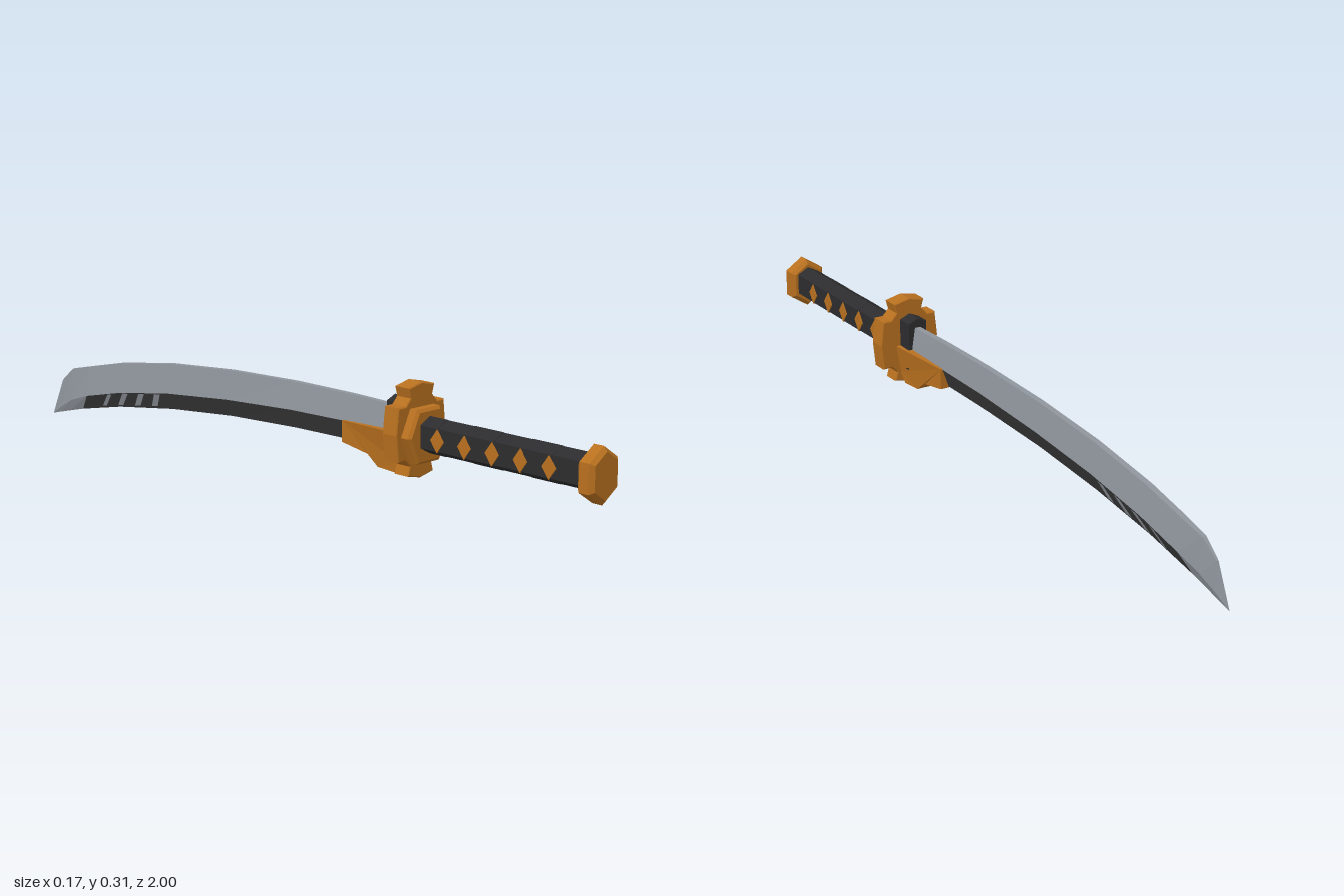
import * as THREE from 'three';

const material = (color, extra = {}) => new THREE.MeshStandardMaterial({ color, ...extra });

export function createModel() {
  const model = new THREE.Group();
  const bronze = material(0xb8701f);
  const wrap = material(0x2c2c2e);
  const steel = material(0x8f959c, { side: THREE.DoubleSide });
  const darkSteel = material(0x383838, { side: THREE.DoubleSide });

  const add = (name, geometry, mat, parent = model) => {
    const mesh = new THREE.Mesh(geometry, mat);
    mesh.name = name;
    parent.add(mesh);
    return mesh;
  };

  const shapeOf = (points) => new THREE.Shape(points.map(([x, y]) => new THREE.Vector2(x, y)));

  // Bevelled slab of an x/y outline between two z positions
  const slab = (name, points, z0, z1, bevel, mat, parent) => {
    const geometry = new THREE.ExtrudeGeometry(shapeOf(points), {
      depth: z1 - z0 - 2 * bevel, bevelEnabled: bevel > 0, bevelSegments: 1,
      bevelThickness: bevel, bevelSize: bevel, bevelOffset: -bevel,
    });
    geometry.translate(0, 0, z0 + bevel);
    return add(name, geometry, mat, parent);
  };

  // Hexagon with points at top and bottom
  const hex = (cy, w, h, shoulder) => [
    [0, cy - h], [w, cy - shoulder], [w, cy + shoulder],
    [0, cy + h], [-w, cy + shoulder], [-w, cy - shoulder],
  ];

  // Grip with alternating wrap bands, and the pommel
  const grip = new THREE.Group();
  grip.name = 'grip';
  model.add(grip);
  for (let i = 0; i < 6; i++) {
    const z = 0.43 + i * 0.0883;
    const s = i % 2 ? 0.001 : 0;
    slab('wrapBand', hex(0.19, 0.033 - s, 0.046 - s, 0.028), z, z + 0.0883, 0, wrap, grip);
  }
  slab('pommel', hex(0.187, 0.05, 0.069, 0.036), 0.952, 1, 0.01, bronze);

  // Diamond inlays on both sides of the grip
  for (const side of [-1, 1]) {
    for (let i = 0; i < 5; i++) {
      const diamond = new THREE.CylinderGeometry(1, 1, 1, 4).toNonIndexed();
      diamond.rotateZ(Math.PI / 2);
      diamond.scale(0.006, 0.029, 0.021);
      diamond.computeVertexNormals();
      add('diamondInlay', diamond, bronze, grip).position.set(side * 0.032, 0.188, 0.517 + i * 0.086);
    }
  }

  // Guard: half outline mirrored across x = 0
  const half = [
    [0.046, 0.088], [0.039, 0.112], [0.055, 0.128], [0.08, 0.127], [0.0875, 0.195],
    [0.08, 0.262], [0.055, 0.262], [0.039, 0.28], [0.046, 0.305],
  ];
  const mirrored = half.map(([x, y]) => [-x, y]).reverse();
  slab('guard', [[0, 0.078], ...half, [0, 0.315], ...mirrored], 0.388, 0.435, 0.003, bronze);
  slab('guardCollar', [
    [0.04, 0.12], [0.071, 0.188], [0.04, 0.255], [-0.04, 0.255], [-0.071, 0.188], [-0.04, 0.12],
  ], 0.425, 0.463, 0.007, bronze);
  slab('bladeCollar', hex(0.195, 0.028, 0.077, 0.065), 0.345, 0.395, 0.002, wrap);

  // Flared bronze ferrule under the blade, drawn in profile and widened toward the guard
  const profile = [
    [0.39, 0.187], [0.19, 0.183], [0.19, 0.128], [0.275, 0.112],
    [0.312, 0.086], [0.37, 0.084], [0.39, 0.11],
  ];
  const ferrule = new THREE.ExtrudeGeometry(shapeOf(profile.map(([z, y]) => [-z, y])), {
    depth: 2, bevelEnabled: false,
  });
  ferrule.translate(0, 0, -1);
  ferrule.rotateY(Math.PI / 2);
  const pos = ferrule.attributes.position;
  for (let i = 0; i < pos.count; i++) {
    const width = (0.024 + (pos.getZ(i) - 0.19) * 0.085) * (pos.getY(i) < 0.12 ? 0.65 : 1);
    pos.setX(i, pos.getX(i) * width);
  }
  ferrule.computeVertexNormals();
  add('ferrule', ferrule, bronze);

  // Blade stations: spine z, y; ridge z, y; edge z, y; half width at the ridge
  const stations = [
    [0.39, 0.245, 0.39, 0.181, 0.39, 0.13, 0.018],
    [0.2, 0.249, 0.2, 0.181, 0.2, 0.131, 0.018],
    [0, 0.249, 0, 0.177, 0, 0.128, 0.018],
    [-0.24, 0.241, -0.24, 0.164, -0.24, 0.118, 0.018],
    [-0.48, 0.222, -0.48, 0.142, -0.48, 0.097, 0.018],
    [-0.69, 0.192, -0.68, 0.112, -0.7, 0.067, 0.018],
    [-0.82, 0.163, -0.825, 0.08, -0.865, 0.034, 0.018],
    [-0.9, 0.145, -0.9, 0.056, -0.925, 0.019, 0.012],
    [-0.95, 0.105, -0.95, 0.03, -0.965, 0.009, 0.006],
    [-1, 0, -1, 0, -1, 0, 0],
  ];
  const darkEnd = 6;
  const spine = (s, side) => [side * s[6] * 0.45, s[1], s[0]];
  const ridge = (s, side) => [side * s[6], s[3], s[2]];
  const edge = (s) => [0, s[5], s[4]];

  const fromQuads = (quads) => {
    const geometry = new THREE.BufferGeometry();
    const points = quads.flatMap(([a, b, c, d]) => [a, b, c, a, c, d]).flat();
    geometry.setAttribute('position', new THREE.Float32BufferAttribute(points, 3));
    geometry.computeVertexNormals();
    return geometry;
  };
  // Corners run counter-clockwise seen from +x, so the other side is reversed
  const facing = (quad, side) => (side > 0 ? quad : [...quad].reverse());

  const body = [];
  const bevel = [];
  for (let i = 0; i < stations.length - 1; i++) {
    const a = stations[i];
    const b = stations[i + 1];
    for (const side of [-1, 1]) {
      body.push(facing([ridge(a, side), ridge(b, side), spine(b, side), spine(a, side)], side));
      (i < darkEnd ? bevel : body).push(facing([edge(a), edge(b), ridge(b, side), ridge(a, side)], side));
    }
    body.push([spine(a, 1), spine(b, 1), spine(b, -1), spine(a, -1)]);
  }
  add('blade', fromQuads(body), steel);
  add('cuttingBevel', fromQuads(bevel), darkSteel);

  // Slanted steel slits laid just over the dark bevel; u runs along the stations, t from ridge to edge
  const onBevel = (u, t, side) => {
    const i = Math.floor(u);
    const s = stations[i].map((v, k) => THREE.MathUtils.lerp(v, stations[i + 1][k], u - i));
    const r = ridge(s, side);
    const p = r.map((v, k) => THREE.MathUtils.lerp(v, edge(s)[k], t));
    return [p[0] + side * 0.0015, p[1], p[2]];
  };
  const slits = [];
  for (const side of [-1, 1]) {
    for (const u of [4.15, 4.48, 4.82, 5.24]) {
      slits.push(facing([
        onBevel(u + 0.11, 0.85, side), onBevel(u + 0.22, 0.85, side),
        onBevel(u + 0.12, 0.05, side), onBevel(u, 0.05, side),
      ], side));
    }
  }
  add('bevelSlits', fromQuads(slits), steel);

  return model;
}
